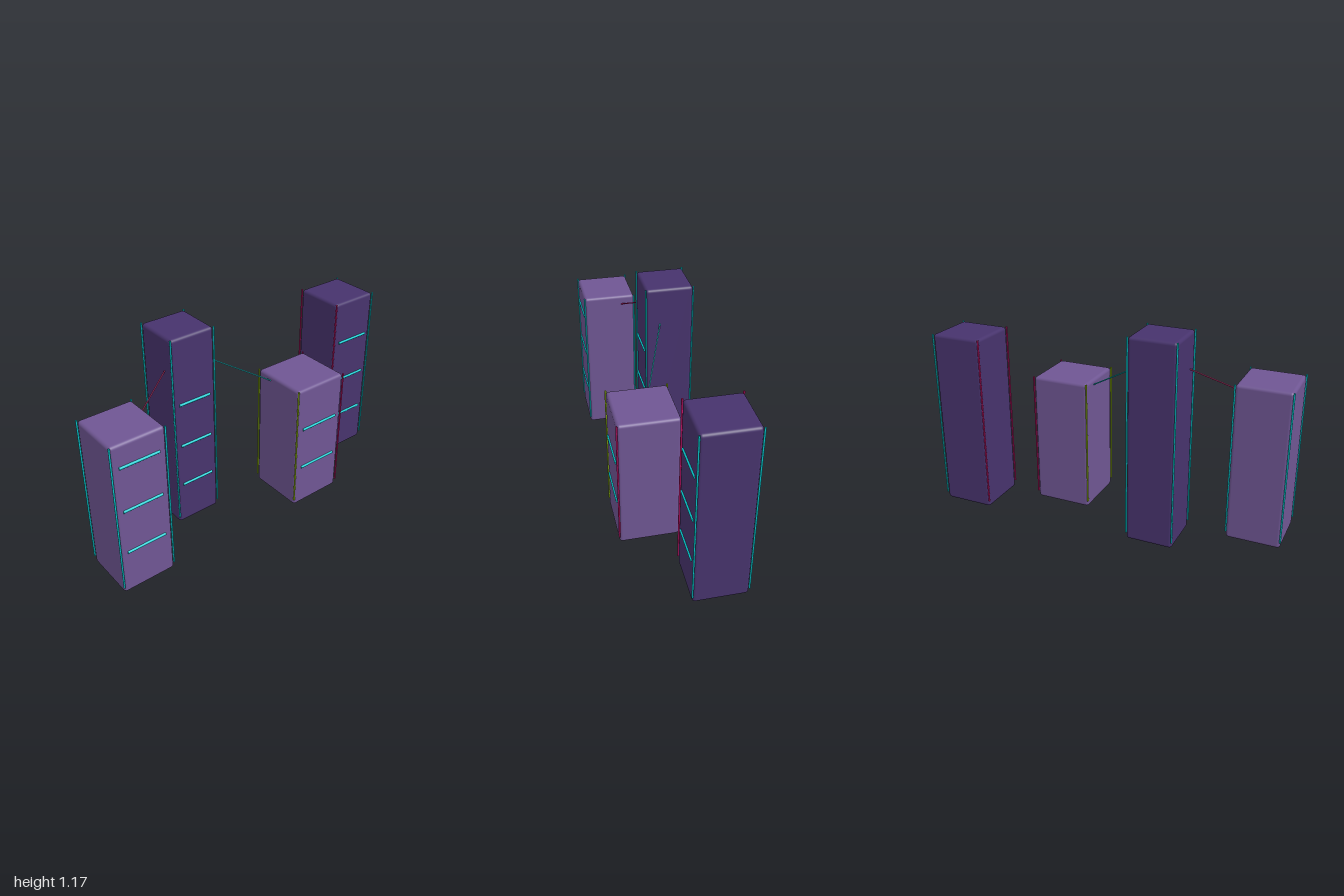
import * as THREE from 'three';
import { RoundedBoxGeometry } from 'three/addons/geometries/RoundedBoxGeometry.js';

const UNIT = 0.13; // storey height

function material(name, color) {
  const m = new THREE.MeshStandardMaterial({ color });
  m.name = name;
  return m;
}

// Thin round rod between two points
function rod(name, a, b, radius, mat) {
  const dir = b.clone().sub(a);
  const mesh = new THREE.Mesh(new THREE.CylinderGeometry(radius, radius, dir.length(), 12), mat);
  mesh.name = name;
  mesh.position.copy(a).add(b).multiplyScalar(0.5);
  mesh.quaternion.setFromUnitVectors(new THREE.Vector3(0, 1, 0), dir.normalize());
  return mesh;
}

export function createModel() {
  const light = material('light purple', 0x6f5693);
  const dark = material('dark purple', 0x47336d);
  const cyan = material('cyan', 0x06ccd2);
  const magenta = material('magenta', 0xc01468);
  const green = material('lime green', 0x94bc14);

  const model = new THREE.Group();
  model.name = 'neonTowers';
  const V = (x, y, z) => new THREE.Vector3(x, y, z);

  // Storeys, footprint, body colour, and edge light colours on the -x and +x sides
  const towers = [
    { x: -0.842, z: 0.119, w: 0.306, floors: 7, body: light, edges: [cyan, cyan] },
    { x: -0.323, z: -0.141, w: 0.268, floors: 9, body: dark, edges: [cyan, cyan] },
    { x: 0.325, z: 0.119, w: 0.335, floors: 6, body: light, edges: [green, magenta] },
    { x: 0.844, z: -0.141, w: 0.298, floors: 8, body: dark, edges: [magenta, cyan] },
  ];

  for (const t of towers) {
    const h = t.floors * UNIT;
    const c = t.w / 2;
    const tower = new THREE.Group();
    tower.name = 'tower';
    tower.position.set(t.x, 0, t.z);

    const body = new THREE.Mesh(new RoundedBoxGeometry(t.w, h, t.w, 3, 0.018), t.body);
    body.name = 'towerBody';
    body.position.y = h / 2;
    tower.add(body);

    // Light tubes along the four vertical corners
    [-1, 1].forEach((sx, i) => {
      for (const sz of [-1, 1]) {
        tower.add(rod('edgeLight', V(sx * c, 0.04, sz * c), V(sx * c, h, sz * c), 0.005, t.edges[i]));
      }
    });

    // Horizontal light tubes half sunk in the front, every second storey up to the sixth
    for (let f = 2; f < t.floors && f <= 6; f += 2) {
      tower.add(rod('frontLight', V(-c * 0.74, f * UNIT, c), V(c * 0.74, f * UNIT, c), 0.008, cyan));
    }
    model.add(tower);
  }

  // Cables hung one storey below the roofs, between tower centres
  const anchor = (t) => V(t.x, (t.floors - 1) * UNIT, t.z);
  model.add(rod('cable', anchor(towers[0]), anchor(towers[1]), 0.0035, magenta));
  model.add(rod('cable', anchor(towers[1]), anchor(towers[2]), 0.0035, cyan));
  return model;
}
